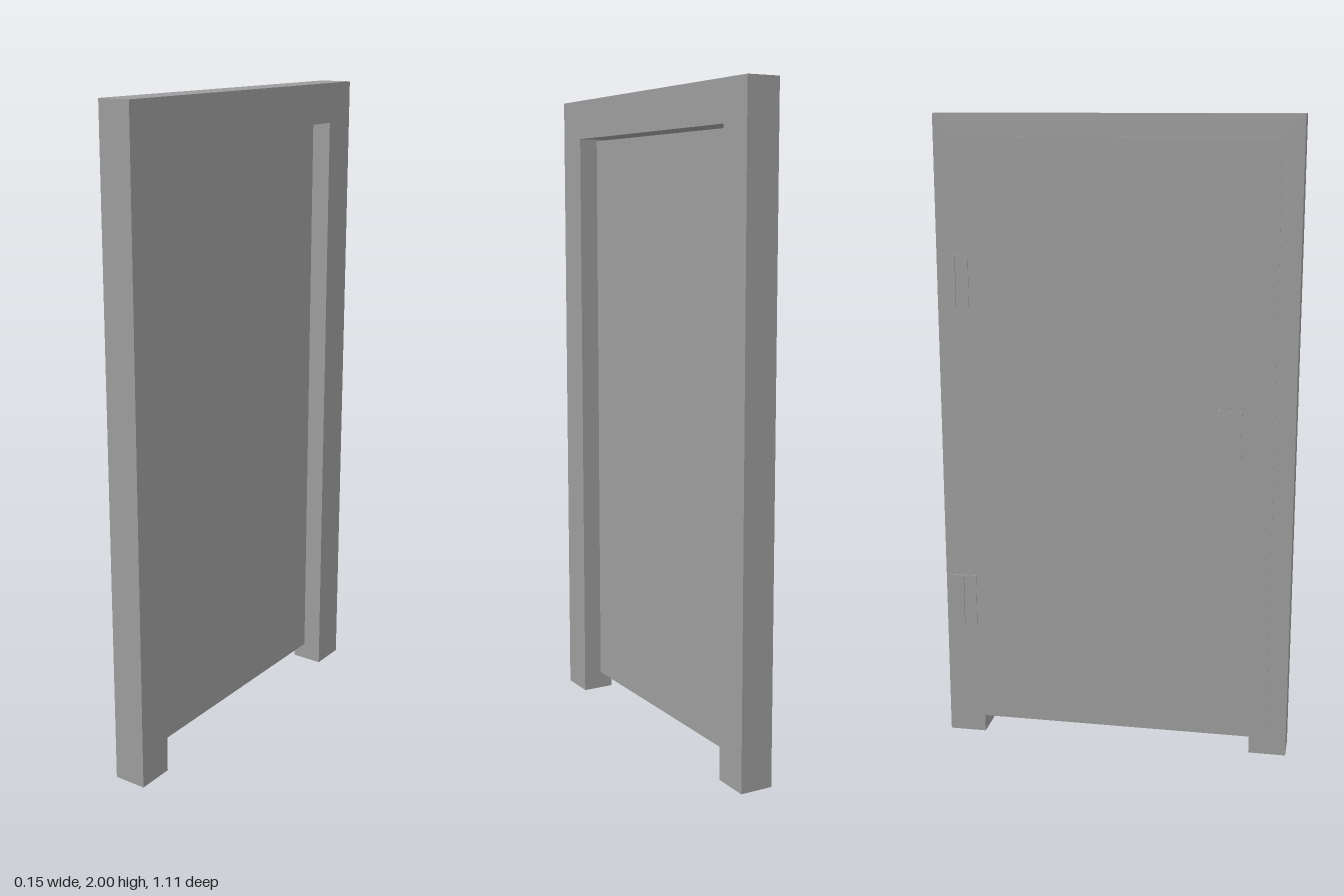
import * as THREE from 'three';

const color = 0x9c9c9c;
const material = new THREE.MeshStandardMaterial({ color, flatShading: true });
const shellMaterial = new THREE.MeshStandardMaterial({ color, flatShading: true, side: THREE.DoubleSide });

// Box given by its limits along each axis
function box(name, [x0, x1], [y0, y1], [z0, z1]) {
  const mesh = new THREE.Mesh(new THREE.BoxGeometry(x1 - x0, y1 - y0, z1 - z0), material);
  mesh.position.set((x0 + x1) / 2, (y0 + y1) / 2, (z0 + z1) / 2);
  mesh.name = name;
  return mesh;
}

// Hollow surround: two posts and a header, with the feet of the posts left open
function createFrame() {
  const outline = new THREE.Shape([
    [-0.555, 0], [-0.437, 0], [-0.437, 1.878], [0.437, 1.878],
    [0.437, 0], [0.555, 0], [0.555, 2], [-0.555, 2],
  ].map(([z, y]) => new THREE.Vector2(z, y)));
  const solid = new THREE.ExtrudeGeometry(outline, { depth: 0.103, bevelEnabled: false });
  solid.rotateY(Math.PI / 2).translate(-0.03, 0, 0);
  const source = solid.attributes.position;
  const kept = [];
  for (let i = 0; i < source.count; i += 3) {
    const corners = [i, i + 1, i + 2];
    if (corners.every((k) => source.getY(k) < 1e-4)) continue;
    for (const k of corners) kept.push(source.getX(k), source.getY(k), source.getZ(k));
  }
  const geometry = new THREE.BufferGeometry();
  geometry.setAttribute('position', new THREE.Float32BufferAttribute(kept, 3));
  geometry.computeVertexNormals();
  const mesh = new THREE.Mesh(geometry, shellMaterial);
  mesh.name = 'doorFrame';
  return mesh;
}

export function createModel() {
  const model = new THREE.Group();
  model.name = 'door';
  model.add(createFrame());

  // Door leaf: recessed core and a thin skin overlapping the frame
  const leaf = new THREE.Group();
  leaf.name = 'doorLeaf';
  leaf.add(
    box('doorCore', [-0.03, 0.015], [0.057, 1.872], [-0.432, 0.432]),
    box('doorSkin', [-0.033, -0.03], [0.057, 1.93], [-0.492, 0.492]),
  );
  model.add(leaf);

  // Hinges: flat plate with a narrow knuckle
  [['lowerHinge', 0.377], ['upperHinge', 1.413]].forEach(([name, y]) => {
    const hinge = new THREE.Group();
    hinge.name = name;
    hinge.add(
      box('hingePlate', [-0.036, -0.03], [y, y + 0.168], [-0.54, -0.455]),
      box('hingeKnuckle', [-0.041, -0.033], [y + 0.003, y + 0.165], [-0.502, -0.495]),
    );
    model.add(hinge);
  });

  // Handle: thin plate bent into an L
  const handle = new THREE.Group();
  handle.name = 'handle';
  handle.add(
    box('handleStem', [-0.073, -0.033], [0.954, 1.13], [0.323, 0.327]),
    box('handleGrip', [-0.074, -0.07], [0.954, 1.13], [0.323, 0.396]),
  );
  model.add(handle);

  return model;
}
